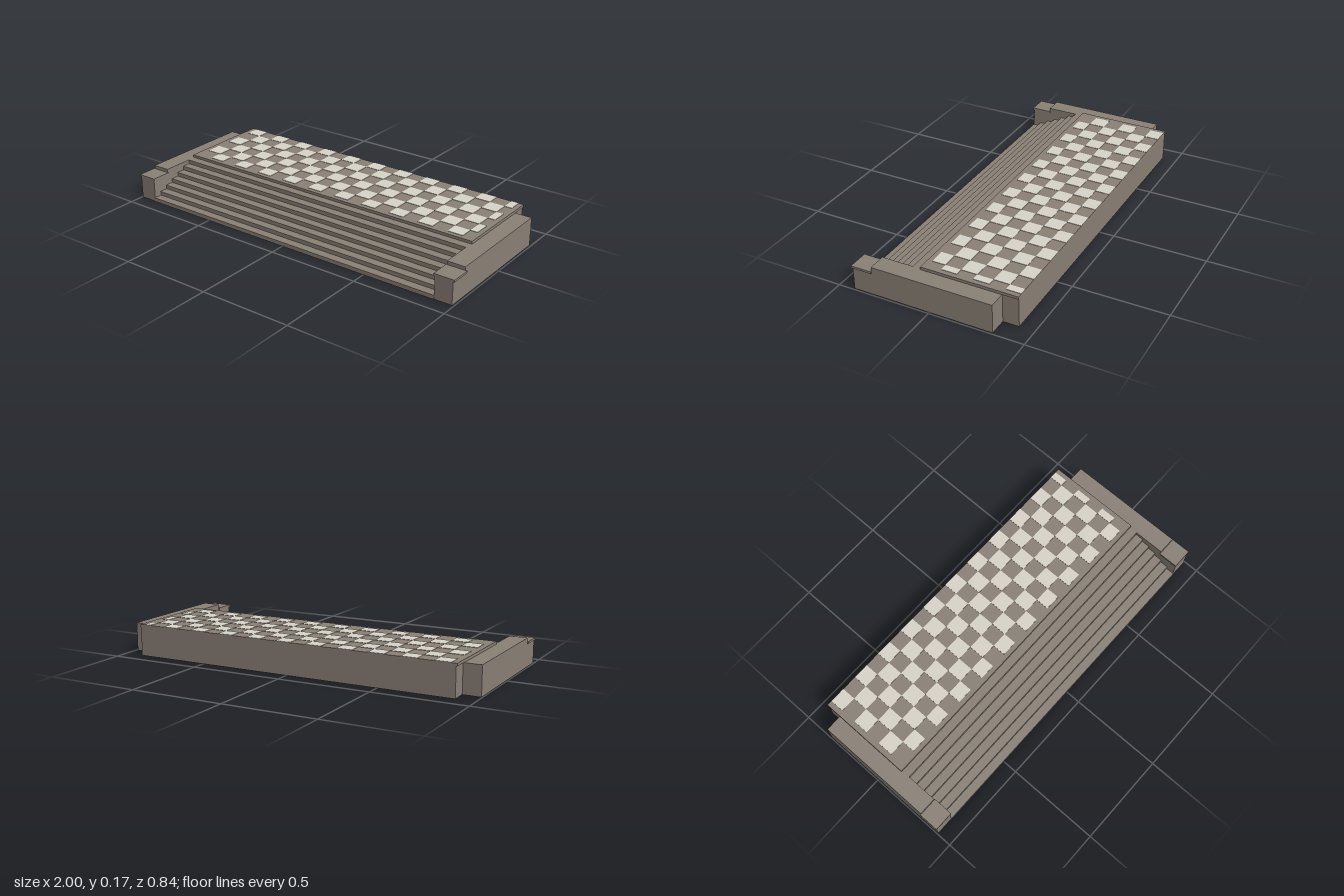
import * as THREE from 'three';
import { mergeGeometries } from 'three/addons/utils/BufferGeometryUtils.js';

const stone = new THREE.MeshStandardMaterial({ color: 0x8a8076 });
stone.name = 'stone';
const paleTile = new THREE.MeshStandardMaterial({ color: 0xd8d4c9 });
paleTile.name = 'pale tile';

const BACK = -0.42;
const FRONT = 0.42;
const STEPS = 7;
const RISE = 0.022;
const TREAD = 0.0462;

// Box given by its limits on each axis
function boxGeometry(x0, x1, y0, y1, z0, z1) {
  const g = new THREE.BoxGeometry(x1 - x0, y1 - y0, z1 - z0);
  return g.translate((x0 + x1) / 2, (y0 + y1) / 2, (z0 + z1) / 2);
}

function addMesh(parent, name, geometry, material) {
  const mesh = new THREE.Mesh(geometry, material);
  mesh.name = name;
  parent.add(mesh);
  return mesh;
}

// Staircase and base in one stepped profile (z, y), extruded along x
function stairGeometry(x0, x1) {
  const profile = new THREE.Shape();
  profile.moveTo(BACK, 0);
  profile.lineTo(FRONT, 0);
  for (let i = 0; i < STEPS; i++) {
    const z = FRONT - i * TREAD;
    profile.lineTo(z, (i + 1) * RISE);
    if (i < STEPS - 1) profile.lineTo(z - TREAD, (i + 1) * RISE);
  }
  profile.lineTo(BACK, STEPS * RISE);
  profile.closePath();
  const g = new THREE.ExtrudeGeometry(profile, { depth: x1 - x0, bevelEnabled: false });
  return g.rotateY(-Math.PI / 2).translate(x1, 0, 0);
}

// Checkerboard of thin pale plates, cut off at the paved area's limits
function tileGeometry(y0, y1) {
  const cell = 0.0855;
  const left = -0.876, right = 0.874, front = 0.072;
  const plates = [];
  for (let row = 0; row < 6; row++) {
    const z0 = Math.max(BACK, -0.4275 + row * cell);
    const z1 = Math.min(front, -0.4275 + (row + 1) * cell);
    for (let col = row % 2; col < 21; col += 2) {
      const x0 = left + col * cell;
      const x1 = Math.min(right, x0 + cell);
      plates.push(boxGeometry(x0, x1, y0, y1, z0, z1));
    }
  }
  return mergeGeometries(plates);
}

export function createModel() {
  const model = new THREE.Group();
  model.name = 'stepped platform';

  addMesh(model, 'staircase', stairGeometry(-0.9, 0.895), stone);

  // Landing slab with checkered paving
  addMesh(model, 'landingSlab', boxGeometry(-0.905, 0.9, 0.154, 0.169, BACK, 0.097), stone);
  addMesh(model, 'checkerTiles', tileGeometry(0.168, 0.171), paleTile);

  // Side walls, each ending in a lower capped pier
  const sides = [
    { name: 'right', wall: [-0.995, -0.898], cap: [-1, -0.893] },
    { name: 'left', wall: [0.893, 0.991], cap: [0.888, 1] },
  ];
  for (const { name, wall, cap } of sides) {
    const side = new THREE.Group();
    side.name = name + 'SideWall';
    addMesh(side, 'wall', boxGeometry(...wall, 0, 0.154, -0.335, 0.312), stone);
    addMesh(side, 'pier', boxGeometry(...wall, 0, 0.123, 0.312, 0.417), stone);
    addMesh(side, 'pierCap', boxGeometry(...cap, 0.123, 0.135, 0.309, FRONT), stone);
    model.add(side);
  }

  return model;
}
